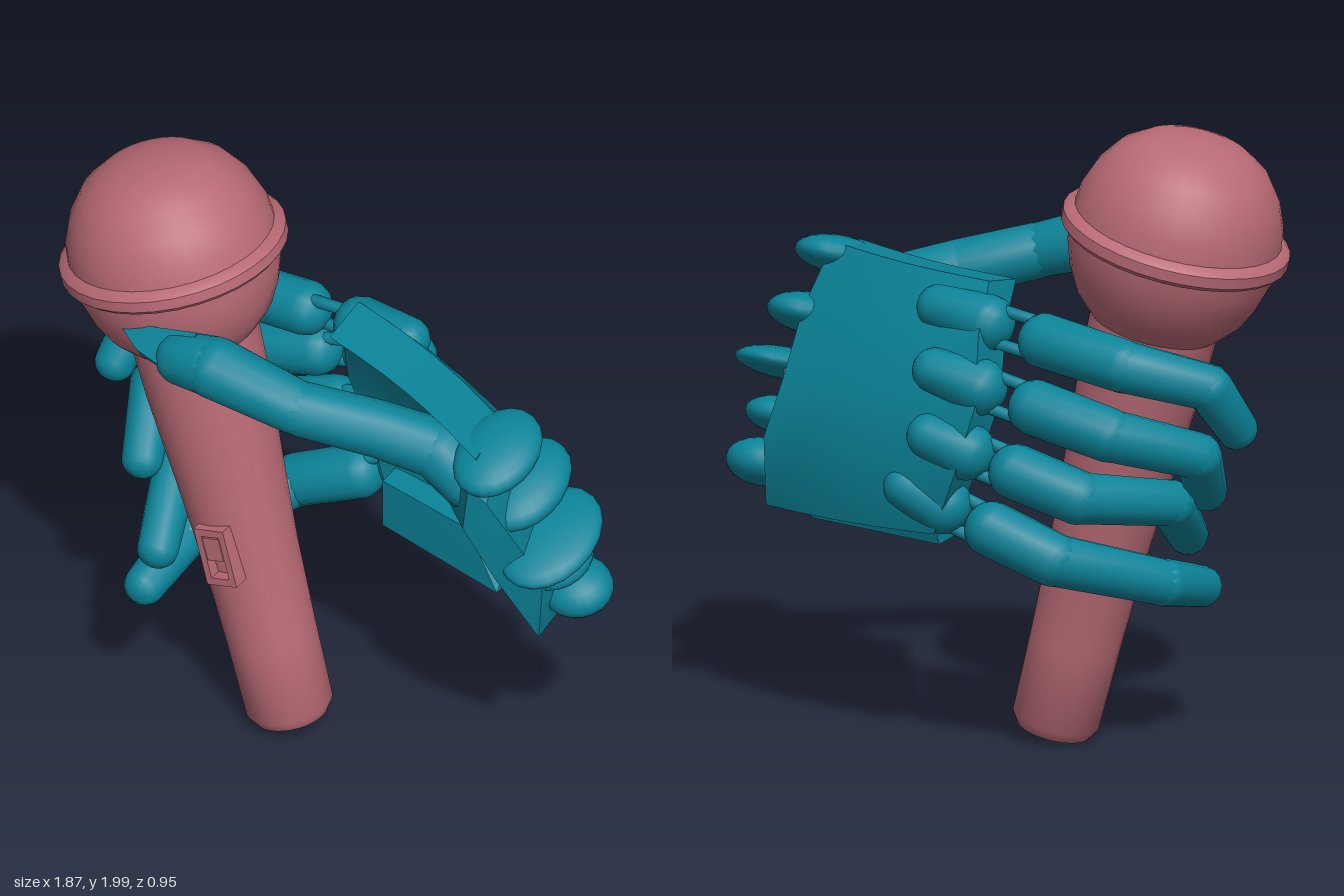
import * as THREE from 'three';
import { toCreasedNormals } from 'three/addons/utils/BufferGeometryUtils.js';
import { ConvexGeometry } from 'three/addons/geometries/ConvexGeometry.js';

const pink = new THREE.MeshStandardMaterial({ color: 0xb86a75 });
const teal = new THREE.MeshStandardMaterial({ color: 0x0b8499, side: THREE.DoubleSide });
const V = (p) => new THREE.Vector3(...p);

function add(parent, name, geometry, material, crease = 0.7) {
  const mesh = new THREE.Mesh(toCreasedNormals(geometry, crease), material);
  mesh.name = name;
  parent.add(mesh);
  return mesh;
}

// Tapered capsule between two points
function segment(parent, name, from, to, ra, rb, sides = 14) {
  const a = V(from), b = V(to), len = a.distanceTo(b), pts = [];
  for (let i = 0; i <= 5; i++) {
    const t = (i / 5) * Math.PI / 2;
    pts.push(new THREE.Vector2(ra * Math.sin(t), -ra * Math.cos(t) * 0.9));
  }
  for (let i = 0; i <= 5; i++) {
    const t = (i / 5) * Math.PI / 2;
    pts.push(new THREE.Vector2(rb * Math.cos(t), len + rb * Math.sin(t) * 0.9));
  }
  const mesh = add(parent, name, new THREE.LatheGeometry(pts, sides), teal, 1.2);
  mesh.position.copy(a);
  mesh.quaternion.setFromUnitVectors(new THREE.Vector3(0, 1, 0), b.sub(a).normalize());
}

function hull(parent, name, points) {
  add(parent, name, new ConvexGeometry(points.map(V)), teal, 0.6);
}

// Microphone, built upright and then leaned over
function buildMicrophone() {
  const mic = new THREE.Group();
  mic.name = 'microphone';
  const lathe = (name, profile) => add(mic, name,
    new THREE.LatheGeometry(profile.map(([r, y]) => new THREE.Vector2(r, y)), 32), pink);
  lathe('handle', [[0, 0.02], [0.05, 0.01], [0.07, 0], [0.115, 0], [0.137, 0.035], [0.142, 0.3],
    [0.152, 0.6], [0.172, 0.9], [0.195, 1.2], [0.203, 1.4]]);
  lathe('headCup', [[0.2, 1.38], [0.225, 1.405], [0.265, 1.45], [0.3, 1.52], [0.325, 1.6], [0.33, 1.66]]);
  lathe('headBand', [[0.32, 1.65], [0.345, 1.645], [0.36, 1.66], [0.36, 1.695], [0.345, 1.71], [0.32, 1.72]]);
  lathe('grille', [[0.33, 1.7], [0.322, 1.77], [0.292, 1.85], [0.24, 1.925], [0.17, 1.975], [0.12, 1.992],
    [0.06, 2.003], [0, 2.005]]);

  // Switch: raised frame with a slider in the slot
  const outline = (w, h) => [[-w, -h], [w, -h], [w, h], [-w, h]].map((p) => new THREE.Vector2(...p));
  const frame = new THREE.Shape(outline(0.055, 0.1));
  frame.holes.push(new THREE.Path(outline(0.033, 0.075).reverse()));
  add(mic, 'switchFrame', new THREE.ExtrudeGeometry(frame, { depth: 0.09, bevelEnabled: false }), pink)
    .position.set(0.012, 0.67, 0.1);
  add(mic, 'switchSlider', new THREE.BoxGeometry(0.06, 0.08, 0.08), pink).position.set(0.012, 0.7, 0.15);

  mic.position.set(-0.15, 0.035, 0.045);
  mic.rotation.z = 0.26;
  return mic;
}

// Palm: slab lofted from the knuckle line to the wrist line
function palmGeometry() {
  const knuckles = [[-0.06, 1.5, -0.2], [-0.1, 1.37, -0.34], [-0.13, 1.15, -0.42], [-0.08, 0.94, -0.46], [0.02, 0.73, -0.41]];
  const wrist = [[0.64, 1.48, 0.07], [0.67, 1.3, -0.07], [0.67, 1.1, -0.2], [0.71, 0.92, -0.25], [0.73, 0.69, -0.2]];
  const steps = 6, pos = [], idx = [];
  for (let i = 0; i <= steps; i++) {
    const t = i / steps;
    const back = knuckles.map((k, j) => {
      const p = V(k).lerp(V(wrist[j]), t);
      p.z -= 0.03 * Math.sin(Math.PI * t);
      return p;
    });
    const inner = back.map((p, j) => p.clone().add(new THREE.Vector3(0, -0.03 + 0.015 * j, 0.17)));
    for (const p of [...back, ...inner.reverse()]) pos.push(p.x, p.y, p.z);
  }
  const quad = (a, b, c, d) => idx.push(a, b, c, a, c, d);
  for (let i = 0; i < steps; i++) {
    for (let j = 0; j < 10; j++) {
      const k = (j + 1) % 10, o = i * 10;
      quad(o + j, o + 10 + j, o + 10 + k, o + k);
    }
  }
  const e = steps * 10;
  for (let k = 0; k < 4; k++) {
    quad(k, k + 1, 8 - k, 9 - k);
    quad(e + 9 - k, e + 8 - k, e + k + 1, e + k);
  }
  const geo = new THREE.BufferGeometry();
  geo.setAttribute('position', new THREE.Float32BufferAttribute(pos, 3));
  geo.setIndex(idx);
  return geo;
}

// Finger joints: knuckle, middle joint, end joint, tip
const fingers = {
  index: [[-0.07, 1.38, -0.24], [-0.58, 1.31, -0.28], [-0.8, 1.24, -0.14], [-0.83, 1.08, -0.01]],
  middle: [[-0.1, 1.2, -0.34], [-0.54, 1.09, -0.3], [-0.73, 1.0, -0.08], [-0.66, 0.84, 0.1]],
  ring: [[-0.08, 1.0, -0.38], [-0.44, 0.88, -0.31], [-0.6, 0.82, -0.02], [-0.51, 0.65, 0.25]],
  little: [[0.02, 0.81, -0.35], [-0.33, 0.66, -0.27], [-0.55, 0.55, 0.03], [-0.56, 0.49, 0.25]],
};

function buildFinger(name, joints) {
  const finger = new THREE.Group();
  finger.name = name + 'Finger';
  const [k, m, e, t] = joints;
  const along = (s) => V(k).lerp(V(m), s).toArray();
  // rounded knuckle end of the palm
  segment(finger, 'knuckle', along(-0.35), along(0.02), 0.07, 0.09);
  // twin hinge bars leave a short gap before the finger
  for (const side of [-1, 1]) {
    const shift = ([x, y, z]) => [x, y + side * 0.05, z + side * 0.015];
    segment(finger, 'hingeBar', shift(along(0)), shift(along(0.45)), 0.02, 0.02, 8);
  }
  segment(finger, 'proximal', along(0.42), m, 0.087, 0.085);
  segment(finger, 'middlePhalanx', m, e, 0.082, 0.073);
  segment(finger, 'fingertip', e, t, 0.075, 0.065);
  return finger;
}

function buildHand() {
  const hand = new THREE.Group();
  hand.name = 'hand';
  add(hand, 'palm', palmGeometry(), teal, 0.6);
  for (const [name, joints] of Object.entries(fingers)) hand.add(buildFinger(name, joints));

  // Outer palm block under the little finger
  hull(hand, 'outerPalm', [[0.04, 0.68, -0.34], [0.04, 0.87, -0.4], [0.04, 0.86, -0.18], [0.04, 0.69, -0.18],
    [0.53, 0.69, -0.27], [0.5, 0.88, -0.3], [0.4, 0.87, -0.1], [0.53, 0.7, -0.06]]);

  // Folded heel of the palm at the thumb root
  hull(hand, 'palmHeel', [[0.64, 1.37, 0.28], [0.5, 1.37, 0.14], [0.43, 1.17, 0.1], [0.7, 1.0, 0.22],
    [0.8, 0.96, 0.1], [0.74, 0.67, 0.03], [0.57, 0.8, 0], [0.72, 1.12, -0.1], [0.66, 1.4, 0.12],
    [0.72, 0.68, -0.17], [0.7, 1.32, 0.27], [0.62, 1.2, 0.28]]);

  // Flat rounded tabs along the wrist: x, y, z, radius x, thickness, radius z
  for (const [x, y, z, rx, ry, rz] of [
    [0.66, 1.42, 0.14, 0.13, 0.06, 0.17], [0.7, 1.25, 0.04, 0.13, 0.065, 0.18],
    [0.79, 1.08, 0.04, 0.15, 0.05, 0.2], [0.75, 0.94, -0.05, 0.12, 0.06, 0.13],
    [0.79, 0.8, -0.11, 0.12, 0.075, 0.11],
  ]) {
    const tab = add(hand, 'wristTab', new THREE.SphereGeometry(1, 20, 12).scale(rx, ry, rz), teal, 1.2);
    tab.position.set(x, y, z);
    tab.rotation.x = 0.35;
  }

  // Thumb laid across the front of the microphone
  const thumb = new THREE.Group();
  thumb.name = 'thumb';
  hand.add(thumb);
  segment(thumb, 'thumbRoot', [0.56, 1.28, 0.14], [0.45, 1.35, 0.14], 0.1, 0.1);
  segment(thumb, 'thumbBase', [0.45, 1.35, 0.14], [0.27, 1.41, 0.22], 0.095, 0.09);
  segment(thumb, 'thumbMiddle', [0.27, 1.41, 0.22], [0.05, 1.47, 0.33], 0.09, 0.087);
  segment(thumb, 'thumbJoint', [0.05, 1.47, 0.33], [-0.22, 1.55, 0.38], 0.087, 0.1);
  segment(thumb, 'thumbEnd', [-0.24, 1.55, 0.38], [-0.35, 1.53, 0.37], 0.095, 0.085);
  hull(thumb, 'thumbTip', [[-0.3, 1.64, 0.36], [-0.3, 1.44, 0.36], [-0.32, 1.53, 0.46], [-0.32, 1.53, 0.29],
    [-0.6, 1.55, 0.34], [-0.5, 1.46, 0.35], [-0.48, 1.54, 0.42], [-0.5, 1.5, 0.29], [-0.42, 1.61, 0.36]]);
  return hand;
}

export function createModel() {
  const model = new THREE.Group();
  model.name = 'handHoldingMicrophone';
  model.add(buildMicrophone(), buildHand());
  return model;
}
